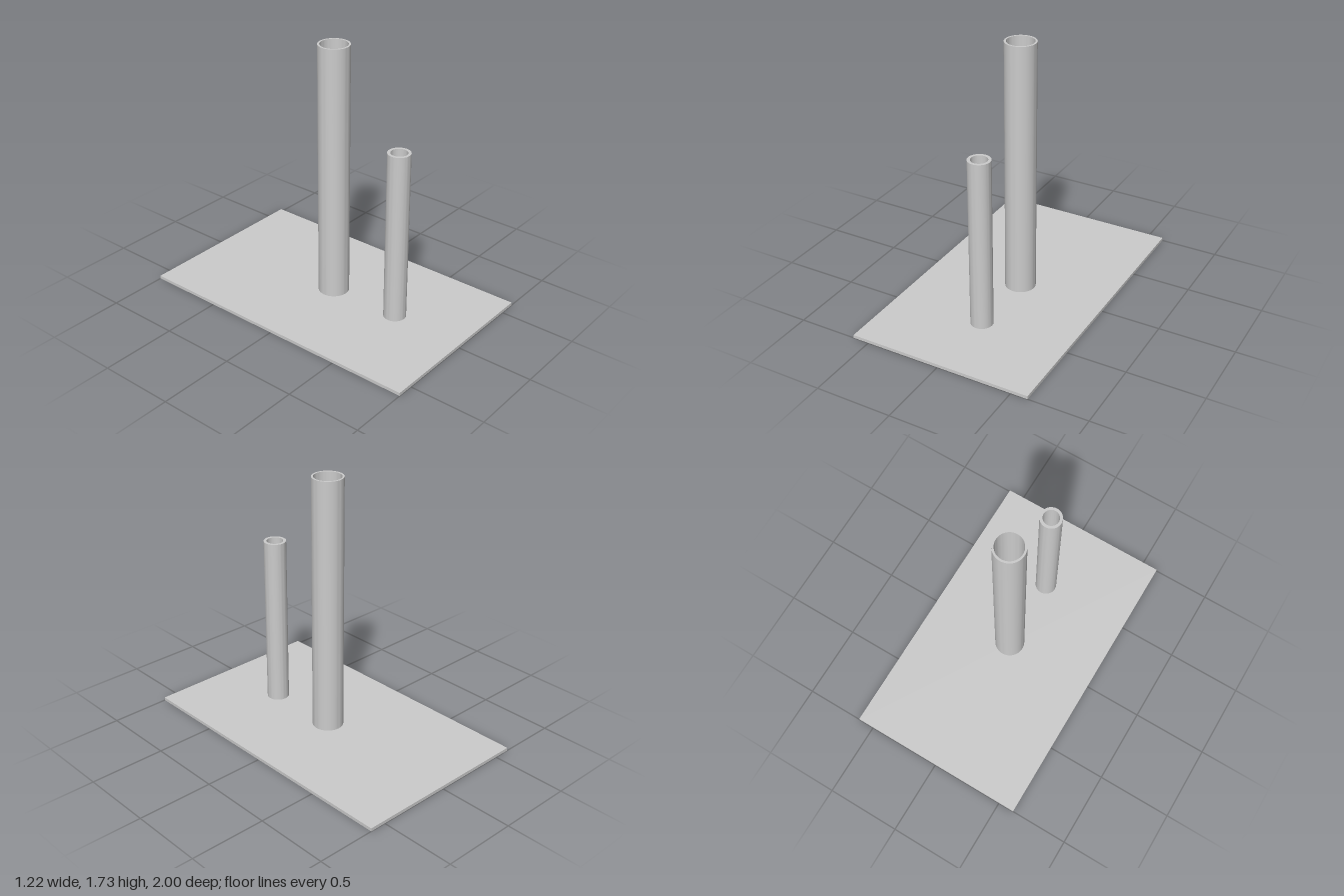
import * as THREE from 'three';
import { toCreasedNormals } from 'three/addons/utils/BufferGeometryUtils.js';

const material = new THREE.MeshStandardMaterial({ color: 0xcccccc });
const PLATE = { width: 1.22, thickness: 0.021, depth: 2 };

// Hollow upright tube standing on the plate
function makeTube(name, outer, inner, top, x, z) {
  const bottom = PLATE.thickness;
  const profile = [
    [outer, bottom], [outer, top], [inner, top], [inner, bottom], [outer, bottom],
  ].map(([r, y]) => new THREE.Vector2(r, y));
  const geometry = toCreasedNormals(new THREE.LatheGeometry(profile, 64), Math.PI / 6);
  const tube = new THREE.Mesh(geometry, material);
  tube.name = name;
  tube.position.set(x, 0, z);
  return tube;
}

export function createModel() {
  const model = new THREE.Group();
  model.name = 'tubeStand';

  // Flat base plate
  const plate = new THREE.Mesh(
    new THREE.BoxGeometry(PLATE.width, PLATE.thickness, PLATE.depth), material);
  plate.name = 'basePlate';
  plate.position.y = PLATE.thickness / 2;
  model.add(plate);

  // Tall tube in the middle, short tube in front of it
  model.add(makeTube('tallTube', 0.101, 0.088, 1.73, 0.014, 0));
  model.add(makeTube('shortTube', 0.073, 0.054, 1.165, 0.014, 0.5));
  return model;
}
